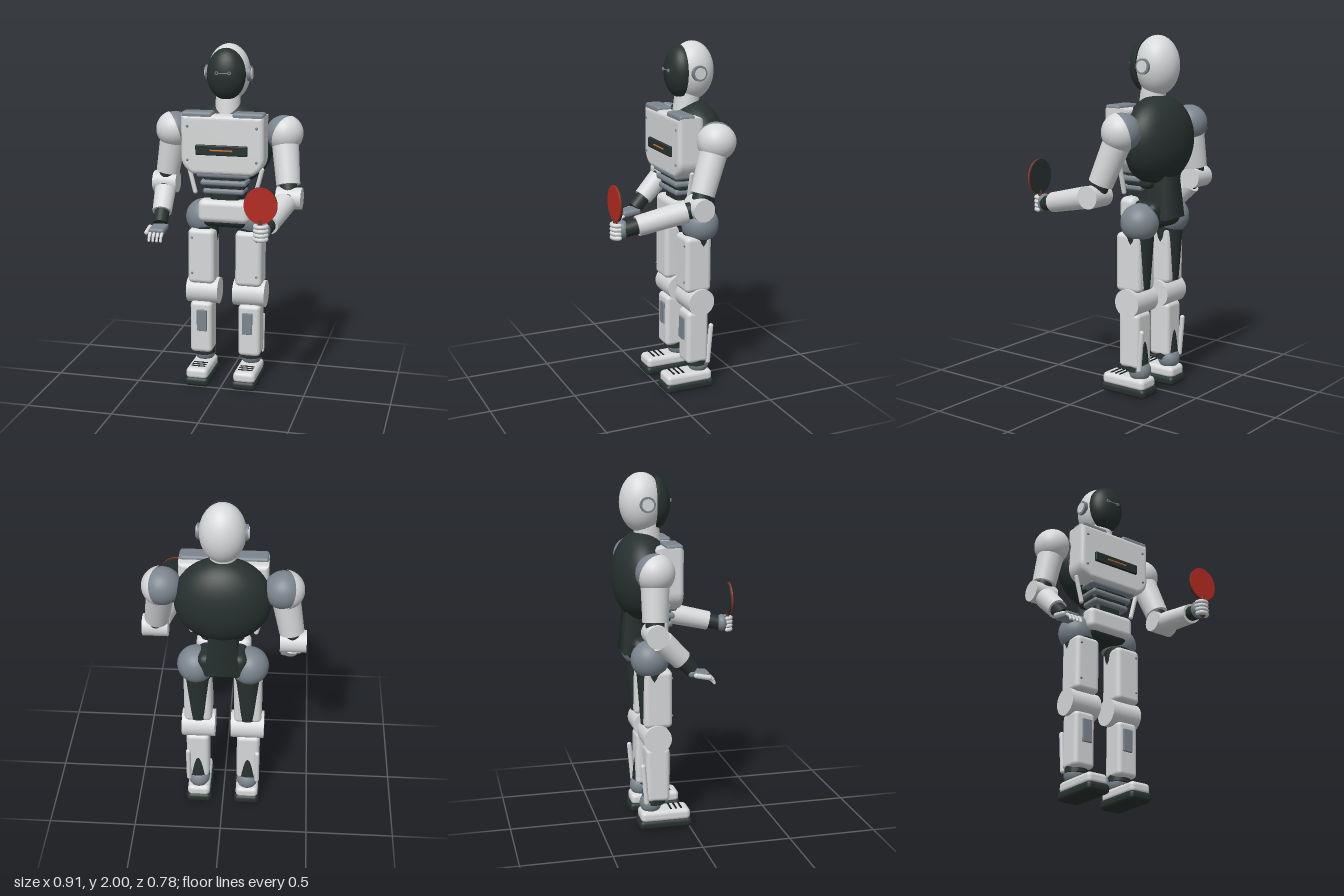
import * as THREE from 'three';
import { RoundedBoxGeometry } from 'three/addons/geometries/RoundedBoxGeometry.js';

const V = (x, y, z) => new THREE.Vector3(x, y, z);

export function createModel() {
  const root = new THREE.Group();
  root.name = 'humanoidRobot';
  const mat = (name, color) => {
    const m = new THREE.MeshStandardMaterial({ color });
    m.name = name;
    return m;
  };
  const white = mat('shellWhite', 0xd6d8d9), dark = mat('frameDark', 0x27312f), grey = mat('jointGrey', 0x7b858e);
  const black = mat('trimBlack', 0x161b1b), red = mat('paddleRed', 0xb32a20), orange = mat('signalOrange', 0xc4682c);
  const wood = mat('wood', 0x6b3b20);

  const add = (name, geo, m, x = 0, y = 0, z = 0) => {
    const mesh = new THREE.Mesh(geo, m);
    mesh.name = name;
    mesh.position.set(x, y, z);
    root.add(mesh);
    return mesh;
  };
  // Rounded box given by its limits on each axis
  const box = (name, m, x0, x1, y0, y1, z0, z1, r = 0.02) => add(name,
    new RoundedBoxGeometry(Math.abs(x1 - x0), y1 - y0, z1 - z0, 4, r), m, (x0 + x1) / 2, (y0 + y1) / 2, (z0 + z1) / 2);
  const ball = (name, m, x, y, z, rx, ry = rx, rz = rx) => add(name,
    new THREE.SphereGeometry(1, 40, 28).scale(rx, ry, rz), m, x, y, z);
  // Aim a part's own y axis along a direction
  const aim = (mesh, dir) => {
    mesh.quaternion.setFromUnitVectors(V(0, 1, 0), dir.clone().normalize());
    return mesh;
  };
  const rod = (name, m, a, b, ra, rb = ra) => {
    const d = b.clone().sub(a), c = a.clone().add(b).multiplyScalar(0.5);
    return aim(add(name, new THREE.CylinderGeometry(rb, ra, d.length(), 32), m, c.x, c.y, c.z), d);
  };
  const pill = (name, m, a, b, r) => {
    const d = b.clone().sub(a), c = a.clone().add(b).multiplyScalar(0.5);
    return aim(add(name, new THREE.CapsuleGeometry(r, d.length(), 6, 14), m, c.x, c.y, c.z), d);
  };

  // Head, visor and neck
  ball('headShell', white, 0, 1.837, -0.225, 0.122, 0.163, 0.122);
  const visor = new THREE.SphereGeometry(1, 40, 28, 0, Math.PI).scale(0.112, 0.146, 0.088);
  add('visor', visor, dark, 0, 1.835, -0.155);
  add('visorBack', new THREE.CircleGeometry(1, 40).scale(0.112, 0.146, 1).rotateY(Math.PI), dark, 0, 1.835, -0.155);
  rod('neck', white, V(0, 1.6, -0.19), V(0, 1.73, -0.2), 0.075, 0.068);
  rod('eyeBar', grey, V(-0.03, 1.848, -0.068), V(0.03, 1.848, -0.068), 0.003);
  for (const s of [-1, 1]) {
    add('eyeRing', new THREE.TorusGeometry(0.008, 0.003, 8, 20), grey, s * 0.036, 1.848, -0.068);
    rod('earRing', grey, V(s * 0.105, 1.835, -0.215), V(s * 0.132, 1.835, -0.215), 0.043);
    rod('earCap', white, V(s * 0.12, 1.835, -0.215), V(s * 0.137, 1.835, -0.215), 0.032);
  }

  // Torso shell and chest plate
  ball('backShell', dark, 0, 1.433, -0.23, 0.262, 0.247, 0.163);
  const chest = new THREE.Shape();
  chest.moveTo(-0.215, 1.59).lineTo(0.215, 1.59).lineTo(0.215, 1.37);
  chest.quadraticCurveTo(0.213, 1.325, 0.165, 1.3).lineTo(-0.165, 1.3);
  chest.quadraticCurveTo(-0.213, 1.325, -0.215, 1.37).lineTo(-0.215, 1.59);
  add('chestPlate', new THREE.ExtrudeGeometry(chest, {
    depth: 0.1, bevelThickness: 0.025, bevelSize: 0.025, bevelSegments: 5, curveSegments: 10,
  }), white, 0, 0, -0.165);
  box('chestDisplay', dark, -0.15, 0.15, 1.39, 1.448, -0.05, -0.025, 0.006);
  box('displayLight', orange, -0.066, 0.066, 1.415, 1.424, -0.03, -0.021, 0.003);
  for (const s of [-1, 1]) {
    box('collarPad', grey, s * 0.058, s * 0.238, 1.59, 1.632, -0.138, -0.045, 0.015);
    for (const y of [1.55, 1.357]) ball('chestBolt', grey, s * 0.2, y, -0.041, 0.008);
    pill('waistStrut', white, V(s * 0.215, 1.3, -0.13), V(s * 0.178, 1.155, -0.13), 0.013);
  }

  // Ribbed abdomen and waist
  box('abdomenCore', dark, -0.12, 0.12, 1.17, 1.33, -0.26, -0.085, 0.03);
  [[1.27, 0.155], [1.222, 0.135], [1.172, 0.12]].forEach(([y, w], i) =>
    box('abdomenRib', grey, -w, w, y - 0.016, y + 0.016, -0.2, -0.06 - i * 0.008, 0.014));
  box('waist', dark, -0.085, 0.085, 1.05, 1.2, -0.25, -0.1, 0.03);
  const spine = new THREE.CylinderGeometry(0.1, 0.13, 0.25, 4, 1).rotateY(Math.PI / 4);
  add('spineCover', spine, dark, 0, 1.13, -0.255);

  // Pelvis
  box('pelvisFrame', dark, -0.14, 0.14, 0.95, 1.1, -0.31, -0.1, 0.045);
  box('pelvisPlate', white, -0.152, 0.152, 0.985, 1.12, -0.17, -0.07, 0.035);

  // Legs
  for (const s of [-1, 1]) {
    ball('hipJoint', grey, s * 0.148, 0.99, -0.215, 0.106);
    rod('thighCore', dark, V(s * 0.14, 0.62, -0.205), V(s * 0.14, 0.96, -0.205), 0.062, 0.086);
    box('thighShell', white, s * 0.062, s * 0.22, 0.605, 0.935, -0.26, -0.1, 0.028);
    for (const y of [0.885, 0.67]) ball('thighBolt', grey, s * 0.192, y, -0.1, 0.007);
    rod('kneeJoint', white, V(s * 0.045, 0.547, -0.19), V(s * 0.235, 0.547, -0.19), 0.079);
    rod('calfCore', dark, V(s * 0.145, 0.15, -0.2), V(s * 0.145, 0.48, -0.19), 0.066, 0.045);
    box('shinShell', white, s * 0.08, s * 0.212, 0.17, 0.487, -0.25, -0.115, 0.025);
    box('shinPanel', grey, s * 0.108, s * 0.168, 0.31, 0.442, -0.12, -0.105, 0.004);
    pill('calfStrut', white, V(s * 0.2, 0.385, -0.268), V(s * 0.2, 0.17, -0.25), 0.014);
    ball('ankleJoint', grey, s * 0.143, 0.15, -0.215, 0.063);
    box('shoeUpper', white, s * 0.077, s * 0.208, 0.045, 0.112, -0.28, 0.005, 0.025);
    box('shoeSole', dark, s * 0.068, s * 0.214, 0.003, 0.06, -0.29, 0.014, 0.024);
    for (const z of [-0.045, -0.075, -0.105])
      box('shoeSlat', black, s * 0.1, s * 0.185, 0.109, 0.116, z - 0.005, z + 0.005, 0.002);
  }

  // Arms: one hangs bent, the other reaches forward
  const arms = [
    { s: -1, elbow: V(-0.382, 1.182, -0.235), wrist: V(-0.362, 0.975, -0.03), f0: 0.2, f1: 0.72 },
    { s: 1, elbow: V(0.38, 1.155, -0.093), wrist: V(0.318, 1.065, 0.315), f0: 0.18, f1: 0.83 },
  ];
  for (const { s, elbow, wrist, f0, f1 } of arms) {
    const shoulder = V(s * 0.325, 1.5, -0.222);
    ball('shoulderJoint', grey, s * 0.32, 1.5, -0.222, 0.103);
    const cap = new THREE.SphereGeometry(0.107, 40, 20, 0, Math.PI * 2, 0, Math.PI / 2);
    aim(add('shoulderCap', cap, white, shoulder.x, shoulder.y, shoulder.z), V(s * 0.8, -0.28, 0.45));
    const up = t => shoulder.clone().lerp(elbow, t), fore = t => elbow.clone().lerp(wrist, t);
    rod('upperArmCore', dark, up(0.4), elbow, 0.05);
    rod('upperArmShell', white, up(0.15), up(0.8), 0.077, 0.068);
    rod('elbowJoint', white, V(s * 0.31, elbow.y, elbow.z), V(s * 0.453, elbow.y, elbow.z), 0.062);
    rod('forearmCore', dark, elbow, wrist, 0.046, 0.042);
    rod('forearmShell', white, fore(f0), fore(f1), 0.062, 0.056);
  }

  // Open hand
  const palm = box('openPalm', grey, -0.408, -0.315, 0.935, 0.972, -0.055, 0.06, 0.015);
  palm.rotation.x = 0.12;
  for (let i = 0; i < 4; i++) {
    const x = -0.396 + i * 0.023;
    pill('finger', white, V(x, 0.942, 0.05), V(x, 0.925, 0.076), 0.0095);
    pill('fingerTip', white, V(x, 0.922, 0.078), V(x, 0.902, 0.086), 0.008);
  }
  pill('thumb', white, V(-0.42, 0.955, -0.02), V(-0.42, 0.94, 0.05), 0.014);

  // Gripping hand
  ball('gripPalm', grey, 0.31, 1.068, 0.325, 0.048, 0.05, 0.036);
  for (let i = 0; i < 4; i++) {
    const curl = new THREE.TorusGeometry(0.03, 0.012, 10, 20, Math.PI).rotateX(Math.PI / 2);
    add('grippingFinger', curl, white, 0.31, 1.028 + i * 0.023, 0.35);
    for (const s of [-1, 1]) ball('knuckle', white, 0.31 + s * 0.03, 1.028 + i * 0.023, 0.35, 0.012);
  }

  // Table tennis paddle
  const blade = (name, m, z0, z1, k) => add(name,
    new THREE.CylinderGeometry(k, k, z1 - z0, 48).rotateX(Math.PI / 2).scale(0.09, 0.098, 1),
    m, 0.31, 1.213, (z0 + z1) / 2);
  blade('paddleBack', dark, 0.354, 0.36, 1);
  blade('paddleBlade', wood, 0.36, 0.364, 0.99);
  blade('paddleFront', red, 0.364, 0.37, 1);
  rod('paddleHandle', wood, V(0.31, 1.015, 0.362), V(0.31, 1.135, 0.362), 0.014, 0.011);

  return root;
}
